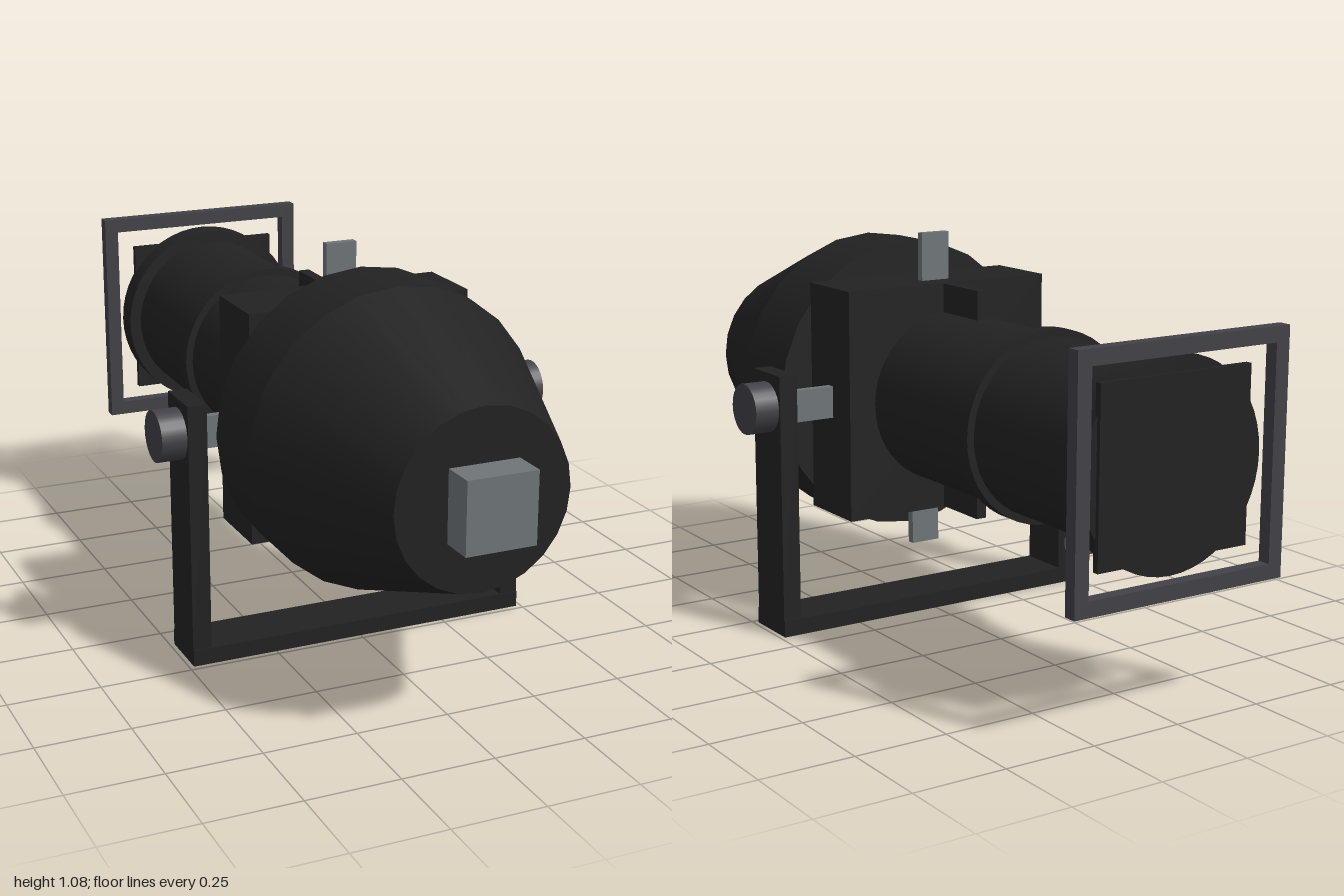
import * as THREE from 'three';

const CY = 0.63; // height of the optical axis

export function createModel() {
  const model = new THREE.Group();
  const mat = (name, color) => {
    const m = new THREE.MeshStandardMaterial({ color });
    m.name = name;
    return m;
  };
  const black = mat('black paint', 0x222222);
  const silver = mat('bare metal', 0x6f7578);
  const grey = mat('dark grey', 0x414147);

  const add = (name, geometry, material) => {
    const mesh = new THREE.Mesh(geometry, material);
    mesh.name = name;
    model.add(mesh);
    return mesh;
  };
  // Box given by its limits on each axis
  const box = (name, material, x0, x1, y0, y1, z0, z1) => {
    const mesh = add(name, new THREE.BoxGeometry(x1 - x0, y1 - y0, z1 - z0), material);
    mesh.position.set((x0 + x1) / 2, (y0 + y1) / 2, (z0 + z1) / 2);
    return mesh;
  };
  // Round section along the optical axis, from z0 (radius r0) to z1 (radius r1)
  const barrel = (name, z0, z1, r0, r1 = r0, sides = 48) => {
    const g = new THREE.CylinderGeometry(r1, r0, z1 - z0, sides);
    g.rotateX(Math.PI / 2);
    add(name, g, black).position.set(0, CY, (z0 + z1) / 2);
  };
  // Cylinder lying across the model
  const crossCylinder = (name, material, x, y, z, radius, length) => {
    const g = new THREE.CylinderGeometry(radius, radius, length, 24);
    g.rotateZ(Math.PI / 2);
    add(name, g, material).position.set(x, y, z);
  };

  // Lamp housing and lamp cap at the front
  barrel('lampHousingDrum', 0.22, 0.44, 0.407, 0.407, 24);
  barrel('lampHousingCone', 0.44, 0.908, 0.407, 0.235, 24);
  box('lampCap', silver, -0.094, 0.094, 0.536, 0.724, 0.9, 1);

  // Shutter gate with a thin fin above and below the barrel
  box('gate', black, -0.313, 0.313, 0.316, 0.944, 0.012, 0.222);
  box('upperFin', black, -0.015, 0.015, 0.8, 0.943, -0.153, 0.02);
  box('lowerFin', black, -0.015, 0.015, 0.317, 0.46, -0.153, 0.02);

  // Lens barrel and its rings
  barrel('lensBarrel', -0.955, 0.02, 0.235);
  barrel('middleRing', -0.467, -0.422, 0.255);
  barrel('endRing', -0.957, -0.885, 0.269);
  box('lensPlate', black, -0.225, 0.225, CY - 0.225, CY + 0.225, -0.968, -0.95);

  // Focus knob under the barrel
  crossCylinder('focusKnob', silver, 0, 0.362, -0.625, 0.03, 0.09);

  // Square filter frame
  const square = (path, h) =>
    path.moveTo(-h, -h).lineTo(h, -h).lineTo(h, h).lineTo(-h, h).closePath();
  const frame = square(new THREE.Shape(), 0.314);
  frame.holes.push(square(new THREE.Path(), 0.274));
  add('filterFrame', new THREE.ExtrudeGeometry(frame, { depth: 0.036, bevelEnabled: false }), grey)
    .position.set(0, CY, -1);

  // Four shutter handles, each in its own layer of the gate
  box('topShutter', silver, -0.043, 0.043, 0.9, 1.075, 0.077, 0.099);
  box('bottomShutter', silver, -0.043, 0.043, 0.185, 0.36, 0.132, 0.154);
  box('leftShutter', silver, 0.27, 0.44, 0.588, 0.675, 0.104, 0.126);
  box('rightShutter', silver, -0.44, -0.27, 0.588, 0.675, 0.163, 0.185);

  // Yoke with clamp knobs
  box('yokeBar', black, -0.487, 0.487, 0, 0.045, 0.078, 0.234);
  for (const s of [-1, 1]) {
    const arm = box('yokeArm', black, -0.026, 0.026, 0.04, 0.723, 0.082, 0.23);
    arm.position.x = s * 0.461;
    crossCylinder('yokeKnob', grey, s * 0.519, CY, 0.156, 0.069, 0.072);
  }
  return model;
}
